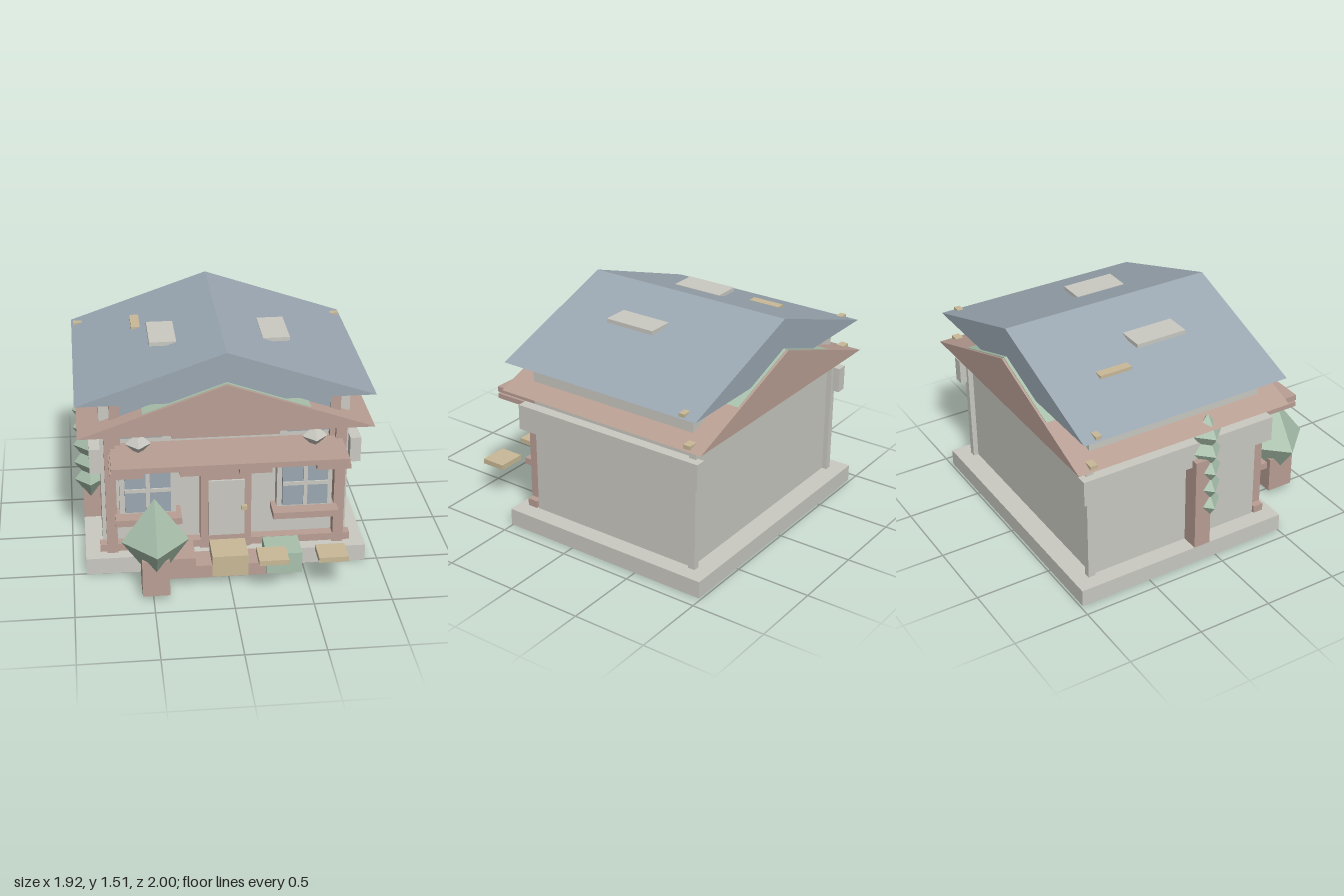
import * as THREE from 'three';

const material = (name, color) => {
  const m = new THREE.MeshStandardMaterial({ color });
  m.name = name;
  return m;
};

export function createModel() {
  const house = new THREE.Group();
  house.name = 'house';
  const stone = material('pale stone', 0xcac9c2);
  const clay = material('clay pink', 0xb99f94);
  const slate = material('slate blue', 0x9aa7b1);
  const tan = material('tan', 0xc8b997);
  const leaf = material('leaf green', 0xa9c1ac);

  const add = (name, geometry, mat) => {
    const mesh = new THREE.Mesh(geometry, mat);
    mesh.name = name;
    house.add(mesh);
    return mesh;
  };
  // Box given by its limits on each axis
  const box = (name, mat, x0, x1, y0, y1, z0, z1) => {
    const mesh = add(name, new THREE.BoxGeometry(x1 - x0, y1 - y0, z1 - z0), mat);
    mesh.position.set((x0 + x1) / 2, (y0 + y1) / 2, (z0 + z1) / 2);
    return mesh;
  };
  // The same box on both sides of the house
  const pair = (name, mat, x0, x1, ...rest) => {
    box(name + 'Left', mat, x0, x1, ...rest);
    box(name + 'Right', mat, -x1, -x0, ...rest);
  };
  // Solid gable running along z
  const gable = (name, mat, halfWidth, eave, peak, z0, z1) => {
    const shape = new THREE.Shape();
    shape.moveTo(-halfWidth, eave);
    shape.lineTo(halfWidth, eave);
    shape.lineTo(0, peak);
    shape.closePath();
    const g = new THREE.ExtrudeGeometry(shape, { depth: z1 - z0, bevelEnabled: false });
    add(name, g.translate(0, 0, z0), mat);
  };
  // Faceted diamond used for plants and lamps
  const diamond = (name, mat, x, y, z, r, h) => {
    const mesh = add(name, new THREE.OctahedronGeometry(1, 0), mat);
    mesh.scale.set(r, h, r);
    mesh.position.set(x, y, z);
  };

  // Base and walls
  box('foundation', stone, -0.915, 0.915, 0, 0.115, -0.985, 0.51);
  box('walls', stone, -0.8, 0.8, 0.11, 1.195, -0.85, 0.37);
  pair('rearCornerTrim', stone, 0.775, 0.82, 0.115, 1.0, -0.885, -0.835);
  pair('sideBand', stone, 0.8, 0.87, 0.705, 0.875, -0.93, 0.445);
  box('rearBeam', clay, -0.67, 0.67, 0.92, 0.985, -0.92, -0.85);

  // Front timber
  box('frontSkirting', clay, -0.82, 0.82, 0.125, 0.175, 0.37, 0.44);
  pair('frontPost', clay, 0.705, 0.775, 0.115, 1.0, 0.37, 0.445);
  pair('upperPost', clay, 0.67, 0.735, 0.88, 1.195, 0.37, 0.41);
  pair('upperWindow', slate, 0.4, 0.67, 0.92, 1.19, 0.37, 0.4);
  box('upperPanel', clay, -0.345, 0.345, 0.92, 0.985, 0.37, 0.43);
  box('eaveStrip', tan, -0.41, 0.41, 0.972, 0.992, 0.37, 0.445);

  // Roofs
  gable('lowerRoof', clay, 0.94, 0.985, 1.315, -1.0, 0.515);
  gable('ridgeCover', leaf, 0.53, 1.132, 1.32, -0.985, 0.495);
  gable('upperRoof', slate, 0.948, 1.19, 1.515, -0.965, 0.477);
  pair('skylight', stone, 0.28, 0.455, 1.397, 1.423, -0.3, 0.05);
  box('roofVent', tan, -0.55, -0.49, 1.325, 1.348, -0.62, -0.4);
  pair('upperEaveCap', tan, 0.875, 0.935, 1.192, 1.216, -0.88, -0.84);
  pair('lowerEaveCap', tan, 0.86, 0.925, 0.98, 1.016, -0.915, -0.865);

  // Awning, its brackets and lamps
  box('awning', clay, -0.74, 0.745, 0.84, 0.877, 0.37, 0.73);
  for (const [x0, x1] of [[-0.75, -0.54], [-0.315, -0.11], [0.055, 0.26], [0.54, 0.755]])
    box('awningBracket', clay, x0, x1, 0.802, 0.835, 0.37, 0.72);
  for (const x of [-0.56, 0.56]) diamond('lamp', stone, x, 0.925, 0.485, 0.082, 0.08);

  // Ground-floor windows
  for (const x of [-0.505, 0.51]) {
    box('windowFrame', stone, x - 0.18, x + 0.18, 0.4, 0.775, 0.37, 0.45);
    box('windowGlass', slate, x - 0.147, x + 0.147, 0.425, 0.745, 0.45, 0.475);
    box('windowUpright', stone, x - 0.013, x + 0.013, 0.425, 0.745, 0.45, 0.487);
    box('windowCrossbar', stone, x - 0.147, x + 0.147, 0.572, 0.597, 0.45, 0.485);
    box('windowSill', clay, x - 0.213, x + 0.213, 0.36, 0.405, 0.37, 0.54);
  }

  // Door
  box('doorSurround', clay, -0.165, 0.165, 0.11, 0.72, 0.37, 0.44);
  box('door', stone, -0.113, 0.12, 0.215, 0.615, 0.43, 0.455);
  box('doorKnob', tan, 0.1, 0.135, 0.405, 0.432, 0.45, 0.48);

  // Step, blocks and slabs in front
  box('frontStep', clay, -0.27, 0.285, 0.037, 0.125, 0.5, 0.68);
  box('clayBlock', clay, -0.395, -0.22, 0.052, 0.197, 0.48, 0.7);
  box('tanBlock', tan, -0.113, 0.12, 0.052, 0.197, 0.48, 0.7);
  box('greenBlock', leaf, 0.235, 0.467, 0.052, 0.197, 0.48, 0.7);
  for (const x of [0.255, 0.632]) box('slab', tan, x - 0.094, x + 0.094, 0.245, 0.28, 0.745, 0.912);

  // Potted bush
  box('bushPot', clay, -0.57, -0.397, 0.037, 0.288, 0.68, 0.865);
  diamond('bush', leaf, -0.48, 0.385, 0.77, 0.212, 0.3);
  house.children.at(-1).scale.z = 0.225;

  // Climbing plant on the right wall
  box('plantPost', clay, -0.915, -0.8, 0.06, 0.76, -0.16, -0.045);
  for (let i = 0; i < 5; i++) diamond('climbingLeaf', leaf, -0.865, 0.925 - i * 0.129, -0.05, 0.103, 0.14);

  return house;
}
